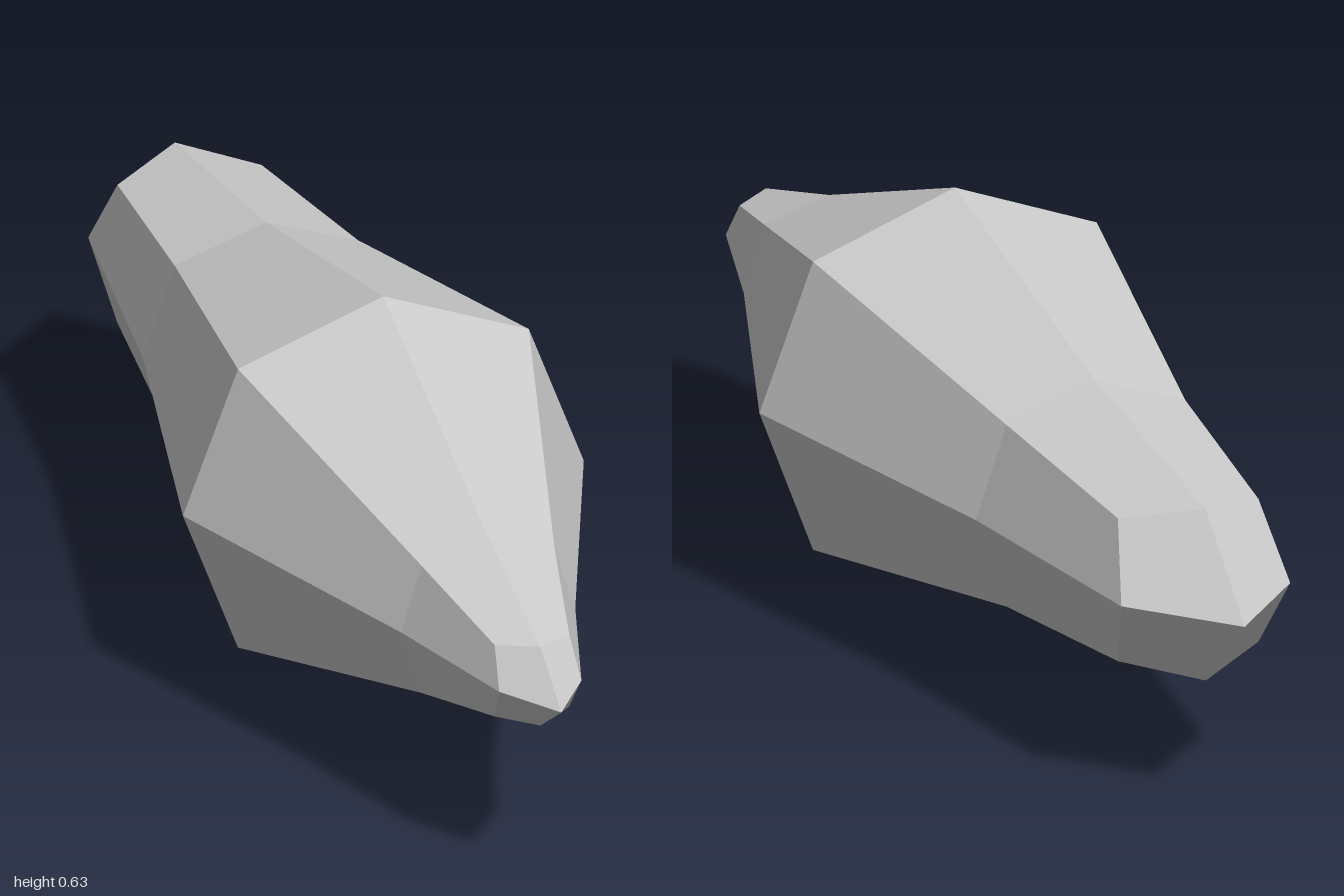
import * as THREE from 'three';

const CENTER_Y = 0.318;

// Rings from back to front: axis-corner radius and z, diagonal-corner offset (x and y alike) and z
const RINGS = [
  { r: 0.137, z: -0.846, d: 0.114, dz: -0.776 },
  { r: 0.195, z: -0.41, d: 0.145, dz: -0.41 },
  { r: 0.317, z: 0.15, d: 0.23, dz: 0.15 },
  { r: 0.138, z: 0.65, d: 0.105, dz: 0.65 },
  { r: 0.065, z: 0.9, d: 0.059, dz: 0.86 },
];

// Eight corners, alternating axis and diagonal ones
function ringPoints({ r, z, d, dz }) {
  return Array.from({ length: 8 }, (_, i) => {
    const a = (i * Math.PI) / 4;
    const diagonal = i % 2 === 1;
    const radius = diagonal ? d * Math.SQRT2 : r;
    return new THREE.Vector3(radius * Math.cos(a), radius * Math.sin(a), diagonal ? dz : z);
  });
}

// Flat-shaded mesh from four-cornered facets, one normal per facet
function facetMesh(name, facets, material) {
  const positions = [];
  const normals = [];
  for (const [a, b, c, d] of facets) {
    const n = c.clone().sub(a).cross(d.clone().sub(b)).normalize();
    for (const p of [a, b, c, a, c, d]) {
      positions.push(p.x, p.y, p.z);
      normals.push(n.x, n.y, n.z);
    }
  }
  const geometry = new THREE.BufferGeometry();
  geometry.setAttribute('position', new THREE.Float32BufferAttribute(positions, 3));
  geometry.setAttribute('normal', new THREE.Float32BufferAttribute(normals, 3));
  const mesh = new THREE.Mesh(geometry, material);
  mesh.name = name;
  mesh.position.y = CENTER_Y;
  return mesh;
}

// Four kite facets meeting at a point on the axis
function tipFacets(ring, tipZ) {
  const tip = new THREE.Vector3(0, 0, tipZ);
  return [0, 2, 4, 6].map((i) => {
    const corners = [ring[i], ring[i + 1], ring[(i + 2) % 8]];
    return [tip, ...(tipZ > 0 ? corners : corners.reverse())];
  });
}

export function createModel() {
  const group = new THREE.Group();
  group.name = 'crystal';
  const material = new THREE.MeshStandardMaterial({ color: 0xcccccc });
  const rings = RINGS.map(ringPoints);

  // Long body: bands of facets between neighbouring rings
  const body = [];
  for (let k = 0; k < rings.length - 1; k++) {
    const back = rings[k];
    const front = rings[k + 1];
    for (let i = 0; i < 8; i++) {
      const j = (i + 1) % 8;
      body.push([back[i], back[j], front[j], front[i]]);
    }
  }
  group.add(facetMesh('crystalBody', body, material));

  // Pointed ends
  group.add(facetMesh('frontTip', tipFacets(rings[rings.length - 1], 1), material));
  group.add(facetMesh('backTip', tipFacets(rings[0], -1), material));
  return group;
}
